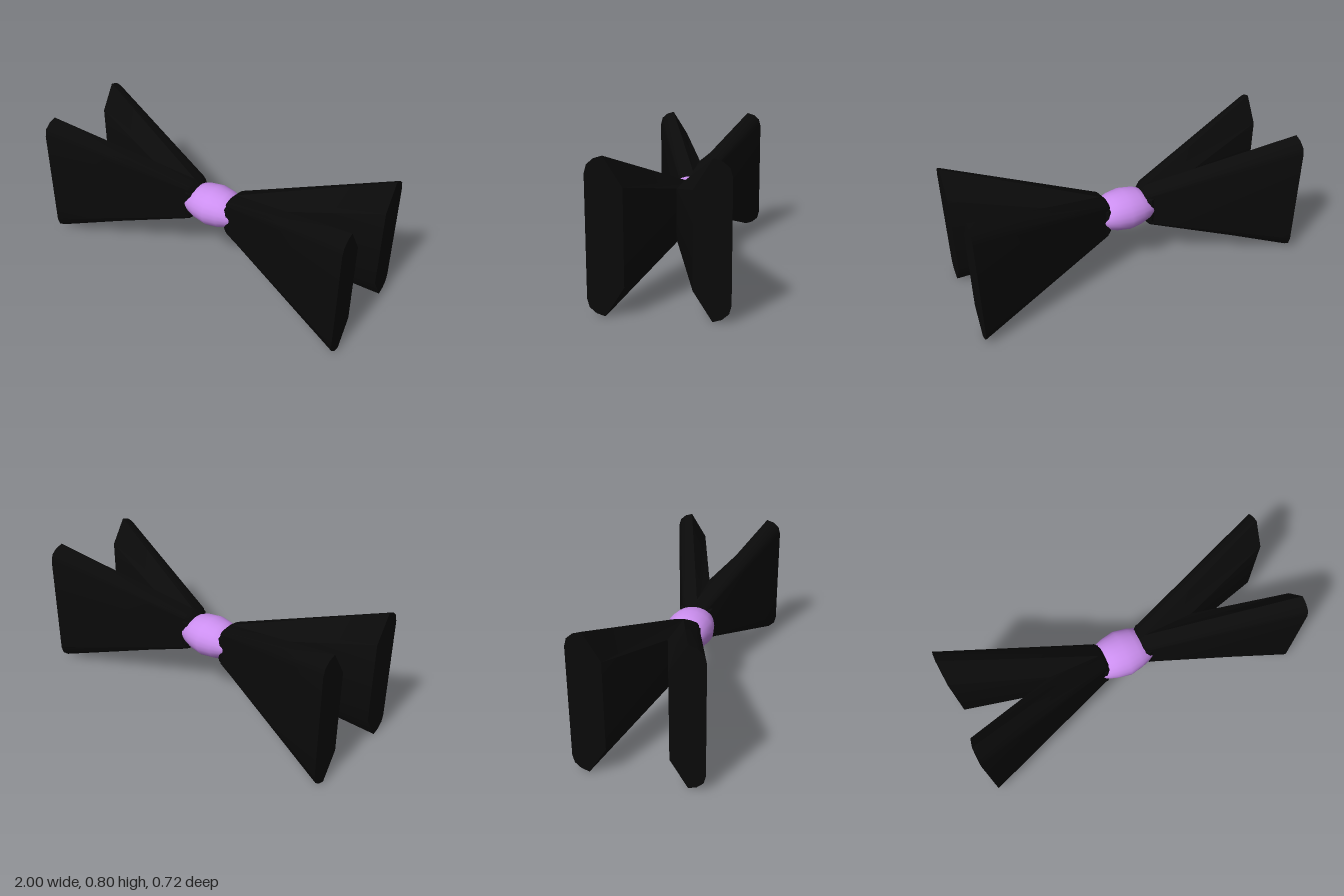
import * as THREE from 'three';
import { toCreasedNormals } from 'three/addons/utils/BufferGeometryUtils.js';

const MID = 0.403; // height of the centre line

// Skin a list of equal-length rings and close both ends with a fan
function loft(rings, flip, crease) {
  const n = rings[0].length, pos = [], idx = [];
  rings.forEach(r => r.forEach(p => pos.push(...p)));
  const tri = (a, b, c) => (flip ? idx.push(a, c, b) : idx.push(a, b, c));
  for (let i = 0; i < rings.length - 1; i++) {
    for (let j = 0; j < n; j++) {
      const k = (j + 1) % n, a = i * n, b = a + n;
      tri(a + j, a + k, b + k);
      tri(a + j, b + k, b + j);
    }
  }
  const last = (rings.length - 1) * n;
  for (let j = 1; j < n - 1; j++) {
    tri(0, j + 1, j);
    tri(last, last + j, last + j + 1);
  }
  const g = new THREE.BufferGeometry();
  g.setAttribute('position', new THREE.Float32BufferAttribute(pos, 3));
  g.setIndex(idx);
  return toCreasedNormals(g, crease);
}

// Upper half of a wing section: [z offset, share of half height], outer side first
const half = [[0.092, 0.78], [0.08, 0.89], [0.045, 0.965], [0, 1], [-0.097, 0.62]];
const section = [...half, ...half.slice().reverse().map(([z, y]) => [z, -y])];

// Stations along a wing: x, centre z, half height, depth scale
const stations = [
  [0.115, -0.008, 0.1, 0.75],
  [0.14, -0.003, 0.127, 1],
  [1, 0.266, 0.402, 1],
];

function wingGeometry(sx, sz) {
  const rings = stations.map(([x, zc, h, d]) =>
    section.map(([z, y]) => [sx * x, MID + y * h, sz * (zc + z * d)]));
  return loft(rings, sx * sz > 0, 0.6);
}

// Barrel-shaped knot: x, half height, half depth
function knotGeometry() {
  const profile = [[0.16, 0.06, 0.095], [0.14, 0.085, 0.108], [0.08, 0.11, 0.128]];
  const all = [
    ...profile.map(([x, y, z]) => [-x, y, z]),
    [0, 0.12, 0.143],
    ...profile.slice().reverse(),
  ];
  const rings = all.map(([x, ry, rz]) => Array.from({ length: 24 }, (_, i) => {
    const a = (i / 24) * Math.PI * 2;
    return [x, MID + Math.cos(a) * ry, Math.sin(a) * rz];
  }));
  return loft(rings, false, 0.8);
}

export function createModel() {
  const model = new THREE.Group();
  model.name = 'bowTie';
  const cloth = new THREE.MeshStandardMaterial({ color: 0x0a0a0a });
  const band = new THREE.MeshStandardMaterial({ color: 0xcc8ff0 });

  // Four flared wings, mirrored left/right and front/back
  for (const sx of [1, -1]) {
    for (const sz of [1, -1]) {
      const wing = new THREE.Mesh(wingGeometry(sx, sz), cloth);
      wing.name = (sz > 0 ? 'front' : 'back') + (sx > 0 ? 'Left' : 'Right') + 'Wing';
      model.add(wing);
    }
  }

  // Knot in the middle
  const knot = new THREE.Mesh(knotGeometry(), band);
  knot.name = 'knot';
  model.add(knot);
  return model;
}
